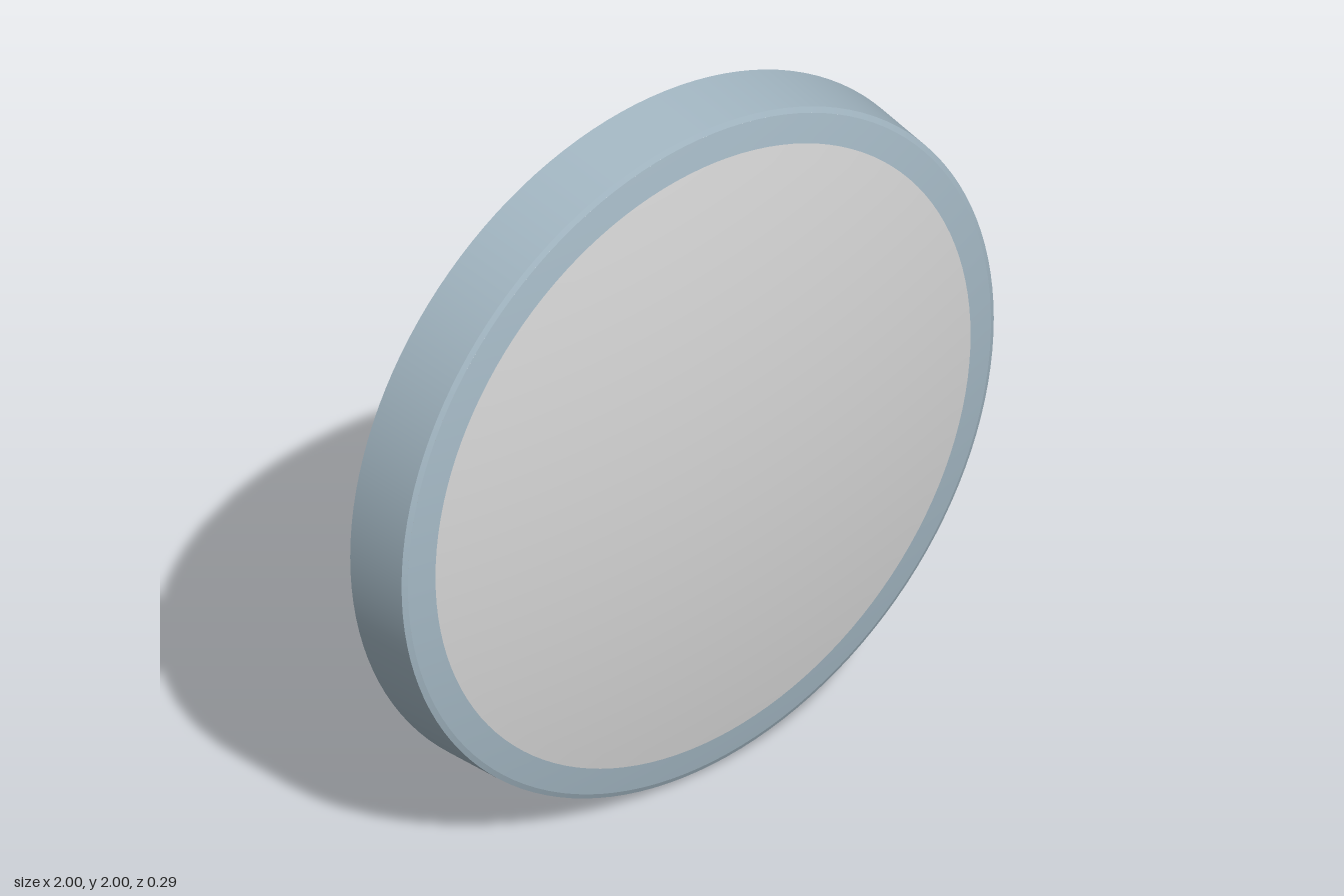
import * as THREE from 'three';
import { mergeGeometries } from 'three/addons/utils/BufferGeometryUtils.js';

const SEGMENTS = 128;
const BACK = -0.145, PLATE = 0, HUB_BACK = -0.125, HUB_RADIUS = 0.46;

const mat = (name, color) => {
  const m = new THREE.MeshStandardMaterial({ color });
  m.name = name;
  return m;
};

// Revolves each [radius, z] profile about the z axis; separate profiles keep sharp edges between them
function revolve(name, material, ...profiles) {
  const parts = profiles.map((p) =>
    new THREE.LatheGeometry(p.map(([r, z]) => new THREE.Vector2(r, z)), SEGMENTS));
  const geometry = mergeGeometries(parts).rotateX(Math.PI / 2);
  const mesh = new THREE.Mesh(geometry, material);
  mesh.name = name;
  return mesh;
}

// Shallow dome from an outer radius to an inner radius
function dome(outer, inner, steps) {
  const points = [];
  for (let i = 0; i <= steps; i++) {
    const r = outer + (inner - outer) * i / steps;
    points.push([r, 0.145 - 0.0988 * r * r]);
  }
  return points;
}

// Hanging slot: a round hole running up into a narrow rounded slot
function keyhole(x, y) {
  const path = new THREE.Path();
  path.absarc(x, y - 0.025, 0.022, Math.PI * 0.7, Math.PI * 2.3, false);
  path.absarc(x, y + 0.035, 0.011, 0, Math.PI, false);
  path.closePath();
  return path;
}

export function createModel() {
  const blue = mat('rimBlue', 0xa4b8c4);
  const white = mat('lensWhite', 0xd4d4d4);
  const violet = mat('liningViolet', 0x666c8c);
  const black = mat('backBlack', 0x212121);

  const model = new THREE.Group();
  model.name = 'roundWallLamp';
  const body = new THREE.Group();
  body.name = 'body';
  body.position.y = 1;
  model.add(body);

  // Outer rim with its back lip and small front chamfer
  body.add(revolve('rim', blue,
    [[0.955, BACK], [1, BACK]],
    [[1, BACK], [0.985, 0.045]],
    [[0.985, 0.045], [0.97, 0.052]]));

  // Domed front: coloured border and pale centre
  body.add(revolve('lensBorder', blue, dome(0.97, 0.89, 4)));
  body.add(revolve('lens', white, dome(0.89, 0, 20)));

  // Inside of the rim and the recessed back plate
  body.add(revolve('rimLining', violet, [[0.945, PLATE], [0.955, BACK]]));
  body.add(revolve('backPlate', black, [[0, PLATE], [0.95, PLATE]]));

  // Round mounting hub with a hanging slot and a screw hole
  const screwX = -0.06, screwY = -0.3, screwR = 0.045;
  const outline = new THREE.Shape().absarc(0, 0, HUB_RADIUS, 0, Math.PI * 2, false);
  outline.holes.push(keyhole(0, 0.355));
  outline.holes.push(new THREE.Path().absarc(screwX, screwY, screwR, 0, Math.PI * 2, true));
  const hub = new THREE.Mesh(new THREE.ExtrudeGeometry(outline, {
    depth: PLATE - HUB_BACK, bevelEnabled: false, curveSegments: 48,
  }), black);
  hub.name = 'mountingHub';
  hub.position.z = HUB_BACK;
  body.add(hub);

  // Slotted screw: two half discs with a gap between them, over a base
  const screw = new THREE.Group();
  screw.name = 'screw';
  screw.position.set(screwX, screwY, HUB_BACK + 0.004);
  screw.rotation.z = Math.PI / 4;
  for (const side of [0, Math.PI]) {
    const half = new THREE.Shape().absarc(0, 0, 0.04, 0.15, Math.PI - 0.15, false);
    const mesh = new THREE.Mesh(new THREE.ExtrudeGeometry(half, {
      depth: 0.012, bevelEnabled: false, curveSegments: 20,
    }), black);
    mesh.name = 'screwHeadHalf';
    mesh.rotation.z = side;
    screw.add(mesh);
  }
  const base = new THREE.Mesh(new THREE.CylinderGeometry(0.04, 0.04, 0.1, 32), black);
  base.name = 'screwBase';
  base.rotation.x = Math.PI / 2;
  base.position.z = 0.062;
  screw.add(base);
  body.add(screw);

  return model;
}
